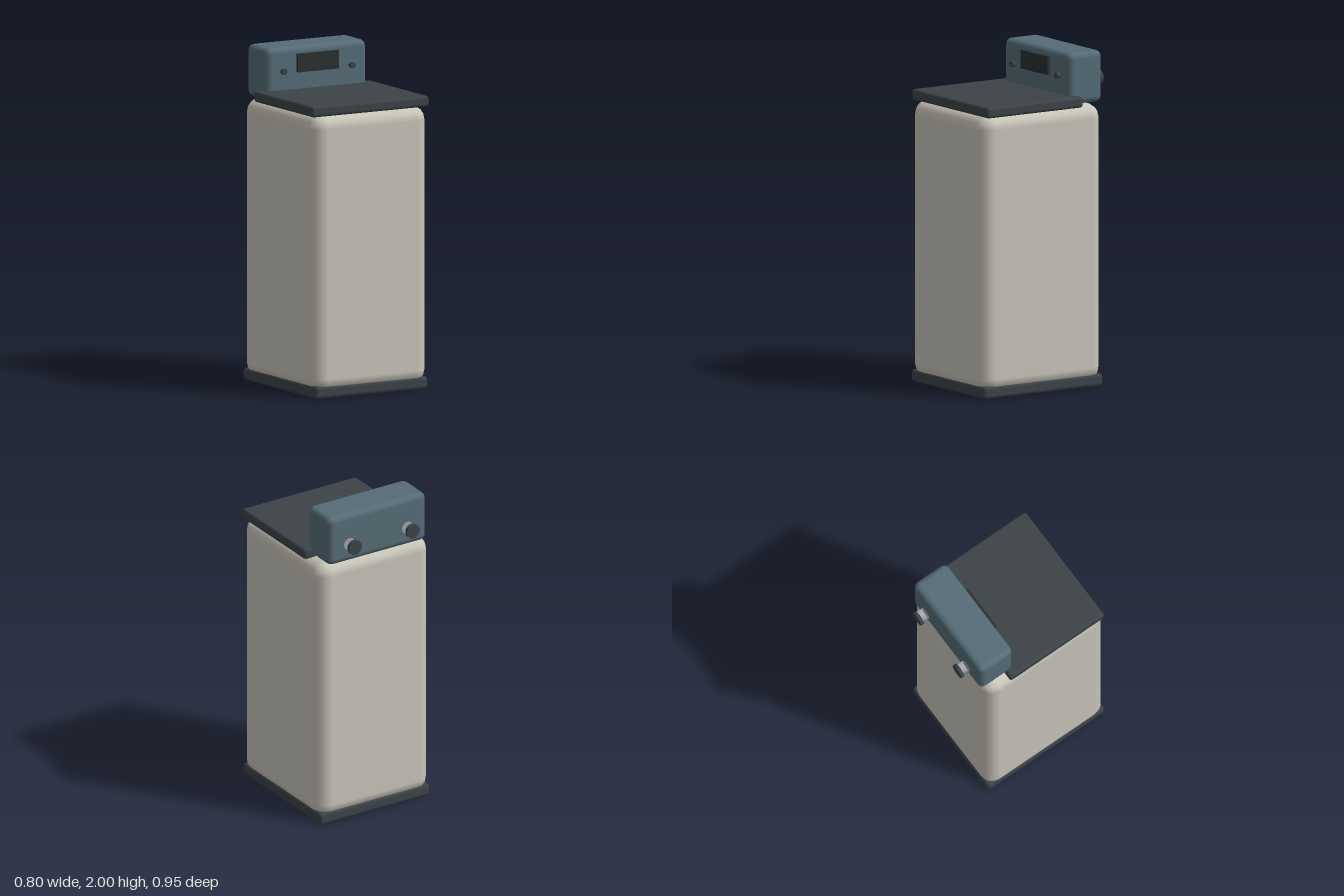
import * as THREE from 'three';
import { RoundedBoxGeometry } from 'three/addons/geometries/RoundedBoxGeometry.js';

const paint = (color) => new THREE.MeshStandardMaterial({ color });

export function createModel() {
  const model = new THREE.Group();
  const cream = paint(0xc9c6ba);
  const charcoal = paint(0x3d4348);
  const slate = paint(0x566c77);
  const steel = paint(0xa0a6ab);
  const glass = paint(0x2b3032);

  const add = (name, geometry, material, x, y, z) => {
    const mesh = new THREE.Mesh(geometry, material);
    mesh.name = name;
    mesh.position.set(x, y, z);
    model.add(mesh);
    return mesh;
  };

  // Rounded box given by its limits on each axis
  const block = (name, material, [x0, x1], [y0, y1], [z0, z1], radius, segments = 2) =>
    add(name, new RoundedBoxGeometry(x1 - x0, y1 - y0, z1 - z0, segments, radius), material,
      (x0 + x1) / 2, (y0 + y1) / 2, (z0 + z1) / 2);

  // Cylinder lying along z between two depths
  const rod = (name, material, radius, x, y, z0, z1) => {
    const geometry = new THREE.CylinderGeometry(radius, radius, z1 - z0, 24).rotateX(Math.PI / 2);
    return add(name, geometry, material, x, y, (z0 + z1) / 2);
  };

  // Cabinet: plinth, tall body and the lid, which stops short of the back
  block('base', charcoal, [-0.385, 0.385], [0, 0.075], [-0.38, 0.466], 0.02);
  block('body', cream, [-0.39, 0.39], [0.03, 1.69], [-0.383, 0.473], 0.085);
  block('lid', charcoal, [-0.4, 0.4], [1.68, 1.745], [-0.23, 0.452], 0.017);

  // Control head with its display
  block('controlHead', slate, [-0.344, 0.344], [1.69, 2], [-0.407, -0.167], 0.038);
  add('display', new THREE.BoxGeometry(0.28, 0.11, 0.018), glass, 0, 1.9, -0.159);

  // Front buttons and rear pipe connectors, one of each per side
  for (const side of [-1, 1]) {
    const label = side > 0 ? 'left' : 'right';
    rod(label + 'Button', charcoal, 0.018, side * 0.234, 1.857, -0.172, -0.144);
    rod(label + 'Pipe', steel, 0.037, side * 0.203, 1.81, -0.41, -0.457);
    rod(label + 'PipeCap', charcoal, 0.045, side * 0.203, 1.81, -0.477, -0.457);
  }
  return model;
}
